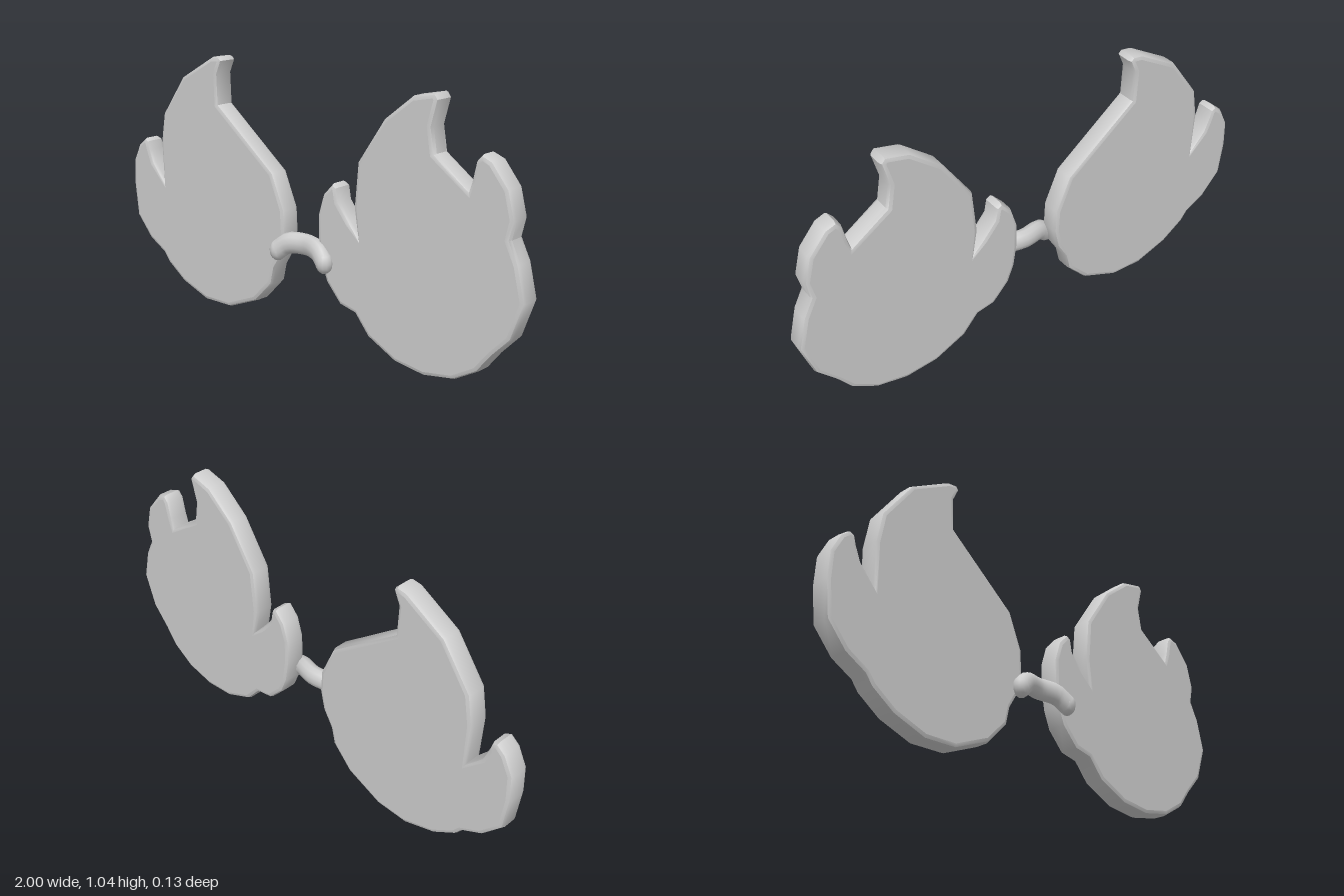
import * as THREE from 'three';
import { toCreasedNormals } from 'three/addons/utils/BufferGeometryUtils.js';

const RIGHT_OUTLINE = [
  [-0.44, 1.03], [-0.465, 0.975], [-0.46, 0.853], [-0.165, 0.623], [-0.105, 0.484], [-0.1, 0.39],
  [-0.118, 0.307], [-0.16, 0.238], [-0.176, 0.168], [-0.262, 0.078], [-0.417, 0.014], [-0.556, 0.011],
  [-0.695, 0.06], [-0.79, 0.126], [-0.818, 0.163], [-0.904, 0.211], [-0.984, 0.302], [-1, 0.44],
  [-0.995, 0.548], [-0.957, 0.623], [-0.92, 0.652], [-0.898, 0.642], [-0.888, 0.607], [-0.866, 0.553],
  [-0.802, 0.479], [-0.813, 0.655], [-0.791, 0.778], [-0.668, 0.944], [-0.497, 1.04], [-0.455, 1.045],
];
const LEFT_OUTLINE = [
  [0.62, 1.008], [0.594, 0.912], [0.61, 0.82], [0.754, 0.719], [0.765, 0.757], [0.78, 0.826],
  [0.802, 0.85], [0.845, 0.834], [0.914, 0.751], [0.941, 0.65], [0.925, 0.58], [0.963, 0.505],
  [0.995, 0.377], [0.947, 0.238], [0.872, 0.158], [0.818, 0.088], [0.717, 0.029], [0.588, 0.005],
  [0.455, 0.021], [0.326, 0.083], [0.262, 0.158], [0.187, 0.174], [0.118, 0.249], [0.09, 0.32],
  [0.075, 0.414], [0.075, 0.51], [0.1, 0.59], [0.144, 0.636], [0.166, 0.623], [0.176, 0.57],
  [0.23, 0.505], [0.273, 0.457], [0.251, 0.564], [0.267, 0.74], [0.385, 0.912], [0.508, 1.008], [0.604, 1.029],
];

// Flame-shaped lens plate: flat faces, softly rounded rim, slightly angled to the bridge
function makeLens(name, outline, innerZ, outerZ, material) {
  const shape = new THREE.Shape(outline.map(([x, y]) => new THREE.Vector2(x, y)));
  const bevel = 0.017;
  const depth = 0.086;
  const raw = new THREE.ExtrudeGeometry(shape, {
    depth: depth - bevel * 2, bevelEnabled: true, bevelSize: bevel,
    bevelThickness: bevel, bevelOffset: -bevel, bevelSegments: 2,
  });
  raw.translate(0, 0, bevel - depth / 2);
  const geometry = toCreasedNormals(raw, 0.75);

  // Keep both faces perfectly flat-shaded
  const pos = geometry.attributes.position;
  const normal = geometry.attributes.normal;
  const caps = raw.groups[0];
  for (let i = caps.start; i < caps.start + caps.count; i++) {
    normal.setXYZ(i, 0, 0, Math.sign(pos.getZ(i)));
  }

  // Shear along z so the plate slants from its inner to its outer edge
  for (let i = 0; i < pos.count; i++) {
    const t = (Math.abs(pos.getX(i)) - 0.1) / 0.9;
    pos.setZ(i, pos.getZ(i) + innerZ + (outerZ - innerZ) * t);
  }
  const mesh = new THREE.Mesh(geometry, material);
  mesh.name = name;
  return mesh;
}

// Arched nose bridge with rounded ends resting on the lens fronts
function makeBridge(material) {
  const bridge = new THREE.Group();
  bridge.name = 'bridge';
  const stretch = 1.25;
  const radius = 0.034;
  const points = [
    [-0.12, 0.328, 0.032], [-0.08, 0.36, 0.018], [0, 0.367, 0], [0.08, 0.36, 0.018], [0.122, 0.328, 0.032],
  ].map(([x, y, z]) => new THREE.Vector3(x, y / stretch, z));
  const arch = new THREE.Mesh(
    new THREE.TubeGeometry(new THREE.CatmullRomCurve3(points), 12, radius, 12), material);
  arch.name = 'bridgeArch';
  bridge.add(arch);
  for (const [name, p] of [['rightBridgeEnd', points[0]], ['leftBridgeEnd', points[4]]]) {
    const end = new THREE.Mesh(new THREE.SphereGeometry(radius, 12, 8), material);
    end.name = name;
    end.position.copy(p);
    bridge.add(end);
  }
  bridge.scale.y = stretch;
  return bridge;
}

export function createModel() {
  const grey = new THREE.MeshStandardMaterial({ color: 0xcccccc });
  grey.name = 'light grey';
  const model = new THREE.Group();
  model.name = 'flameGlasses';
  model.add(
    makeLens('rightLens', RIGHT_OUTLINE, -0.024, -0.013, grey),
    makeLens('leftLens', LEFT_OUTLINE, -0.023, -0.018, grey),
    makeBridge(grey),
  );
  return model;
}
